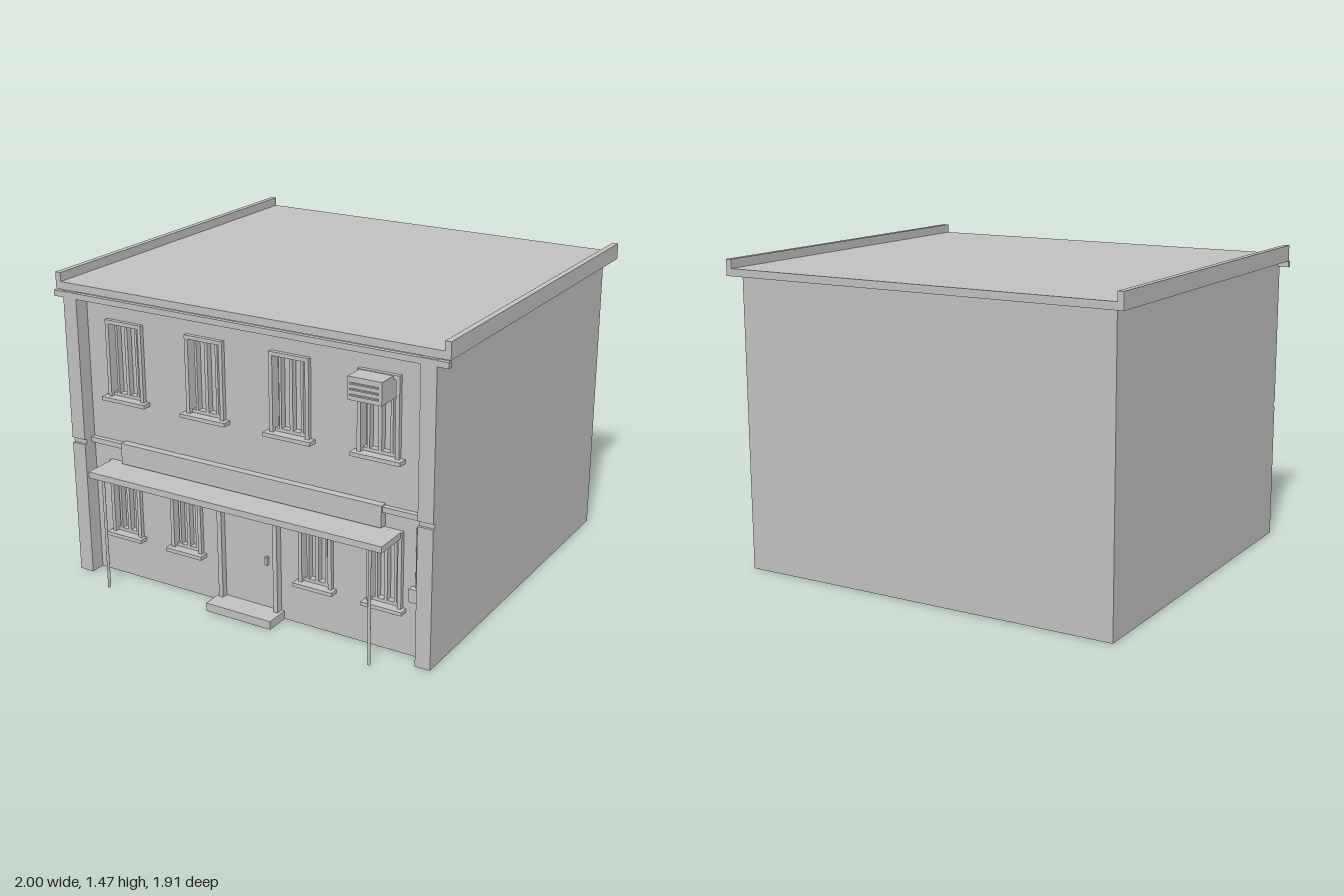
import * as THREE from 'three';

export function createModel() {
  const model = new THREE.Group();
  model.name = 'building';
  const plaster = new THREE.MeshStandardMaterial({ color: 0xc0c0c0 });
  plaster.name = 'plaster grey';

  const WALL = 0.775; // z of the front wall face
  const RECESS = 0.03;

  // Box given by its min/max limits on each axis
  function box(name, x0, x1, y0, y1, z0, z1, parent = model) {
    const mesh = new THREE.Mesh(new THREE.BoxGeometry(x1 - x0, y1 - y0, z1 - z0), plaster);
    mesh.position.set((x0 + x1) / 2, (y0 + y1) / 2, (z0 + z1) / 2);
    mesh.name = name;
    parent.add(mesh);
    return mesh;
  }

  // Window layout: centre x, half width, bottom, top
  const windows = [
    ...[-0.66, -0.22, 0.22, 0.655].map((x) => ({ x, hw: 0.1, y0: 0.905, y1: 1.27 })),
    ...[-0.695, -0.35, 0.345, 0.69].map((x) => ({ x, hw: 0.085, y0: 0.22, y1: 0.58 })),
  ];

  // Main volume, with a front wall layer pierced by the windows
  box('mainBody', -0.948, 0.948, 0, 1.39, -0.907, WALL - RECESS);
  const wall = new THREE.Shape();
  wall.moveTo(-0.948, 0).lineTo(0.948, 0).lineTo(0.948, 1.39).lineTo(-0.948, 1.39).closePath();
  for (const { x, hw, y0, y1 } of windows) {
    const hole = new THREE.Path();
    hole.moveTo(x - hw + 0.01, y0).lineTo(x - hw + 0.01, y1 - 0.01)
      .lineTo(x + hw - 0.01, y1 - 0.01).lineTo(x + hw - 0.01, y0).closePath();
    wall.holes.push(hole);
  }
  const frontWall = new THREE.Mesh(
    new THREE.ExtrudeGeometry(wall, { depth: RECESS, bevelEnabled: false }), plaster);
  frontWall.position.z = WALL - RECESS;
  frontWall.name = 'frontWall';
  model.add(frontWall);

  // Corner pilasters, interrupted by the string course
  for (const s of [-1, 1]) {
    const a = s < 0 ? -0.948 : 0.875;
    const b = s < 0 ? -0.875 : 0.948;
    box('pilasterLower', a, b, 0, 0.655, WALL, 0.848);
    box('pilasterUpper', a, b, 0.68, 1.39, WALL, 0.848);
    box('pilasterBand', a, b, 0.655, 0.68, WALL, 0.835);
  }
  box('stringCourse', -0.875, 0.875, 0.655, 0.68, WALL, 0.8);

  // Roof slab, side parapets and front gutter
  box('roofSlab', -1, 1, 1.39, 1.425, -0.955, 0.832);
  box('parapetLeft', 0.972, 1, 1.425, 1.467, -0.955, 0.832);
  box('parapetRight', -1, -0.972, 1.425, 1.467, -0.955, 0.832);
  box('gutter', -1, 1, 1.36, 1.387, 0.828, 0.85);

  // Windows: frame, casement stiles, mullion and sill
  for (const { x, hw, y0, y1 } of windows) {
    const g = new THREE.Group();
    g.name = 'window';
    model.add(g);
    const back = WALL - RECESS;
    const out = WALL + 0.02;
    box('frameRight', x - hw, x - hw + 0.018, y0, y1, back, out, g);
    box('frameLeft', x + hw - 0.018, x + hw, y0, y1, back, out, g);
    box('frameTop', x - hw + 0.018, x + hw - 0.018, y1 - 0.018, y1, back, out, g);
    box('bottomRail', x - hw + 0.018, x + hw - 0.018, y0, y0 + 0.015, back, WALL, g);
    box('mullion', x - 0.008, x + 0.008, y0 + 0.015, y1 - 0.018, back, WALL, g);
    for (const s of [-1, 1]) {
      const c = x + s * hw * 0.55;
      box('casementStile', c - 0.006, c + 0.006, y0 + 0.015, y1 - 0.018, back, WALL, g);
    }
    const sill = hw + (hw > 0.09 ? 0.02 : 0.015);
    box('sill', x - sill, x + sill, y0 - 0.018, y0, WALL, WALL + 0.045, g);
  }

  // Entrance: jambs, door leaf, handle and step
  box('doorJambRight', -0.163, -0.14, 0.04, 0.54, WALL, WALL + 0.035);
  box('doorJambLeft', 0.135, 0.157, 0.04, 0.54, WALL, WALL + 0.035);
  box('doorLeaf', -0.14, 0.135, 0.04, 0.54, WALL, WALL + 0.005);
  box('doorHandle', 0.083, 0.096, 0.255, 0.295, WALL + 0.005, WALL + 0.022);
  box('doorStep', -0.175, 0.172, 0, 0.04, WALL, 0.895);

  // Canopy on two slim posts, with a blank fascia board above
  box('canopy', -0.772, 0.768, 0.55, 0.58, WALL, 0.955);
  for (const x of [-0.705, 0.7]) {
    const post = new THREE.Mesh(new THREE.CylinderGeometry(0.007, 0.007, 0.55, 10), plaster);
    post.position.set(x, 0.275, 0.934);
    post.name = 'canopyPost';
    model.add(post);
  }
  box('fasciaBoard', -0.69, 0.685, 0.587, 0.688, WALL, 0.812);

  // Air conditioner with louvre slats
  box('airConditioner', 0.565, 0.725, 1.165, 1.267, WALL - RECESS, 0.89);
  for (const y of [1.19, 1.215, 1.24]) {
    box('louvreSlat', 0.58, 0.71, y - 0.003, y + 0.003, 0.89, 0.9);
  }

  // Meter box and its conduit
  box('meterBox', 0.817, 0.866, 0.272, 0.335, WALL, WALL + 0.03);
  const conduit = new THREE.Mesh(new THREE.CylinderGeometry(0.004, 0.004, 0.28, 8), plaster);
  conduit.position.set(0.843, 0.475, WALL + 0.01);
  conduit.name = 'conduit';
  model.add(conduit);

  return model;
}
